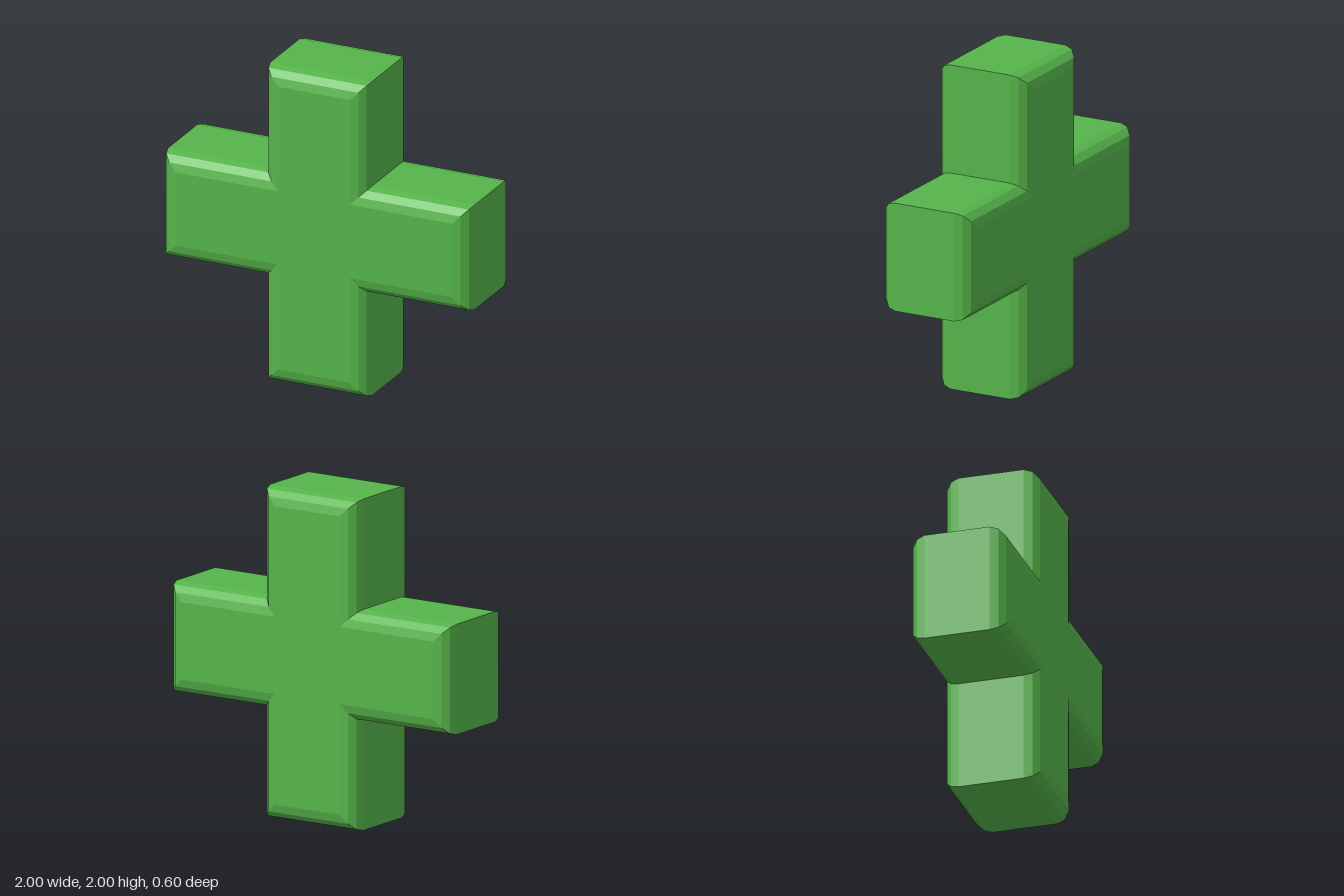
import * as THREE from 'three';

export function createModel() {
  const group = new THREE.Group();
  const arm = 1, half = 1 / 3, halfDepth = 0.3, bevel = 0.1;

  // Plus outline: one arm's three corners, repeated by quarter turns
  const points = [];
  for (let i = 0; i < 4; i++) {
    const turn = (i * Math.PI) / 2;
    for (const [x, y] of [[arm, -half], [arm, half], [half, half]]) {
      points.push(new THREE.Vector2(x, y).rotateAround(new THREE.Vector2(), turn));
    }
  }

  // Extruded body with rounded front and back rims
  const depth = 2 * (halfDepth - bevel);
  const geometry = new THREE.ExtrudeGeometry(new THREE.Shape(points), {
    depth,
    bevelEnabled: true,
    bevelThickness: bevel,
    bevelSize: bevel,
    bevelOffset: -bevel,
    bevelSegments: 3,
  });
  geometry.translate(0, arm, -depth / 2);

  const cross = new THREE.Mesh(
    geometry,
    new THREE.MeshStandardMaterial({ color: 0x55b44a, flatShading: true })
  );
  cross.name = 'cross';
  group.add(cross);
  group.name = 'plusSign';
  return group;
}
